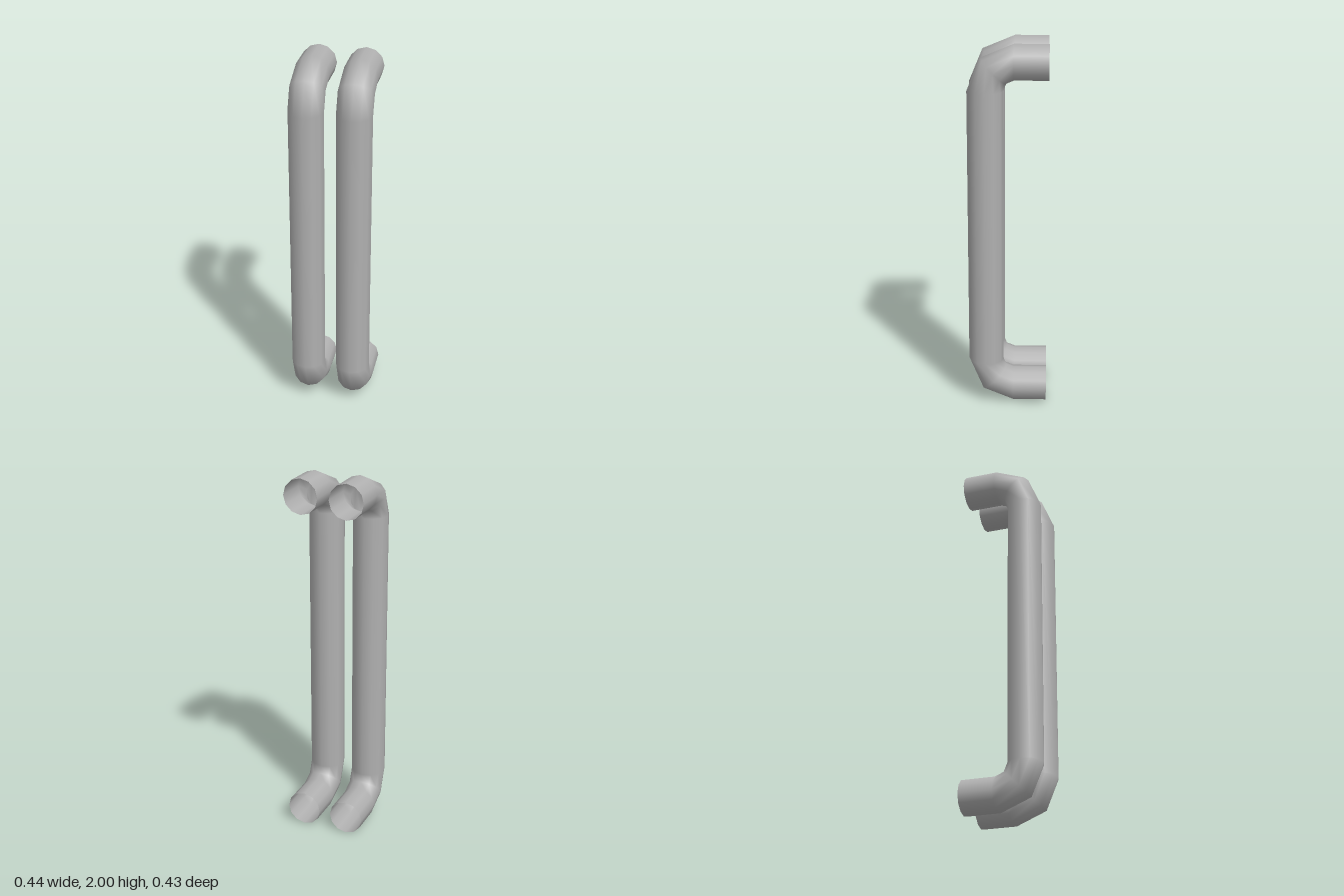
import * as THREE from 'three';

const SIDES = 12;
const RADIUS = 0.095;   // tube radius
const BEND = 0.15;      // centre-line radius of each bend
const BACK = -0.213;    // z of the open ends
const BEND_Z = -0.032;  // z of the bend centres
const TOP_Y = 1.755, BOTTOM_Y = 0.245; // y of the bend centres

// Open tube swept along a bracket-shaped path, from the top end to the bottom end
function handleGeometry() {
  // each ring: centre y, centre z, angle of its outward direction from +y towards +z
  const rings = [[TOP_Y + BEND, BACK, 0]];
  for (const [y, start] of [[TOP_Y, 0], [BOTTOM_Y, Math.PI / 2]]) {
    for (let i = 0; i <= 2; i++) {
      const t = start + i * Math.PI / 4;
      rings.push([y + BEND * Math.cos(t), BEND_Z + BEND * Math.sin(t), t]);
    }
  }
  rings.push([BOTTOM_Y - BEND, BACK, Math.PI]);

  const positions = [], normals = [], index = [];
  rings.forEach(([y, z, t], i) => {
    for (let j = 0; j < SIDES; j++) {
      const a = j / SIDES * Math.PI * 2;
      const n = [Math.cos(a), Math.sin(a) * Math.cos(t), Math.sin(a) * Math.sin(t)];
      normals.push(...n);
      positions.push(RADIUS * n[0], y + RADIUS * n[1], z + RADIUS * n[2]);
      if (i < rings.length - 1) {
        const p = i * SIDES + j, q = i * SIDES + (j + 1) % SIDES;
        index.push(p, q, p + SIDES, q, q + SIDES, p + SIDES);
      }
    }
  });

  const geometry = new THREE.BufferGeometry();
  geometry.setAttribute('position', new THREE.Float32BufferAttribute(positions, 3));
  geometry.setAttribute('normal', new THREE.Float32BufferAttribute(normals, 3));
  geometry.setIndex(index);
  return geometry;
}

export function createModel() {
  const group = new THREE.Group();
  group.name = 'pullHandles';
  const metal = new THREE.MeshStandardMaterial({ color: 0xb0b0b0, side: THREE.DoubleSide });
  metal.name = 'grey metal';

  // Two matching handles side by side
  const geometry = handleGeometry();
  for (const [name, x] of [['leftHandle', 0.126], ['rightHandle', -0.126]]) {
    const handle = new THREE.Mesh(geometry, metal);
    handle.name = name;
    handle.position.x = x;
    group.add(handle);
  }
  return group;
}
